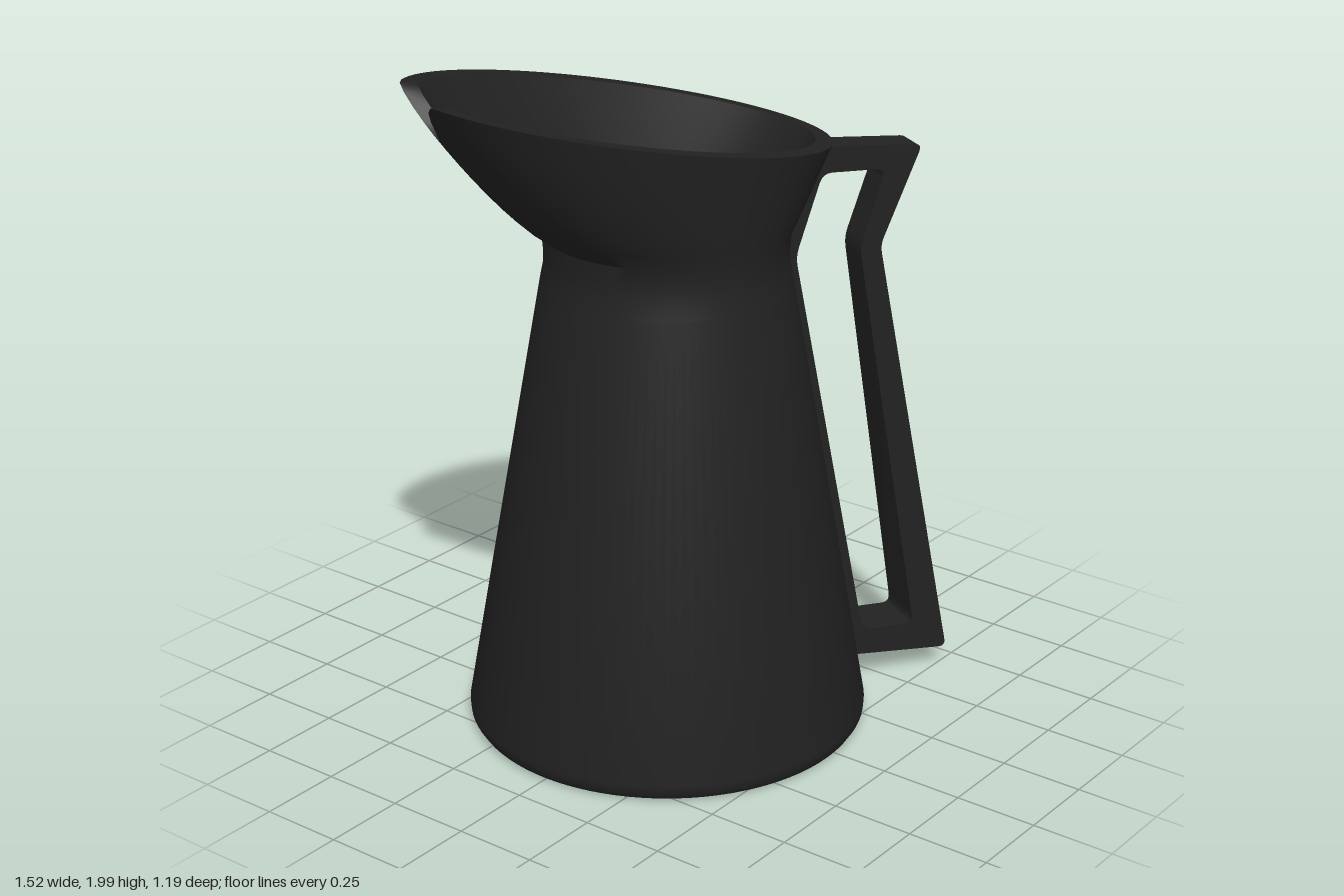
import * as THREE from 'three';
import { toCreasedNormals } from 'three/addons/utils/BufferGeometryUtils.js';

const SEGMENTS = 96;
const lerp = THREE.MathUtils.lerp;

// A ring is an ellipse: centre offset c, half axes a (handle direction) and b, height y + slope * x
const ring = (c, a, b, y, slope = 0) => ({ c, a, b, y, slope });
const round = (r, y) => ring(0, r, r, y);

// Point on a ring part-way between two rings; ease bends the flare outward
function between(r0, r1, t, phi, ease = 1) {
  const s = Math.pow(t, ease);
  const x = lerp(r0.c, r1.c, s) + lerp(r0.a, r1.a, s) * Math.cos(phi);
  const z = lerp(r0.b, r1.b, s) * Math.sin(phi);
  return [x, lerp(r0.y, r1.y, t) + lerp(r0.slope, r1.slope, t) * x, z];
}

// Pouring notch, 1 at the spout and 0 away from it
function notch(phi) {
  const d = Math.abs(phi - Math.PI) / 0.36;
  return d < 1 ? 0.5 + 0.5 * Math.cos(Math.PI * d) : 0;
}

function jugGeometry() {
  const neck = round(0.355, 1.52);
  const rim = ring(-0.139, 0.624, 0.421, 1.847, -0.2);
  const innerRim = ring(-0.139, 0.574, 0.371, 1.847, -0.2);
  const crease = ring(-0.06, 0.41, 0.32, 1.62, -0.1);
  const rows = [];
  const plain = (r) => rows.push((phi) => between(r, r, 0, phi));

  // underside, rounded foot, cone and waist
  [[0.001, 0], [0.56, 0], [0.58, 0.008], [0.591, 0.025], [0.593, 0.05], [0.362, 1.37],
    [0.352, 1.42], [0.35, 1.46]].forEach(([r, y]) => plain(round(r, y)));
  // flared collar outside
  for (let k = 0; k <= 8; k++) {
    rows.push((phi) => between(neck, rim, (k / 8) * (1 - 0.27 * notch(phi)), phi, 0.87));
  }
  // lip and flared collar inside
  for (let k = 6; k >= 0; k--) {
    rows.push((phi) => between(crease, innerRim, (k / 6) * (1 - 0.38 * notch(phi)), phi));
  }
  // throat, inner wall and floor
  [ring(-0.02, 0.34, 0.26, 1.52), ring(0, 0.302, 0.205, 1.42), ring(0, 0.31, 0.23, 1.3),
    round(0.53, 0.08), round(0.001, 0.08)].forEach(plain);

  const positions = [];
  const index = [];
  rows.forEach((row, i) => {
    for (let j = 0; j < SEGMENTS; j++) {
      positions.push(...row((j / SEGMENTS) * Math.PI * 2));
      if (i === rows.length - 1) continue;
      const n = (j + 1) % SEGMENTS;
      const a = i * SEGMENTS + j;
      const b = i * SEGMENTS + n;
      index.push(a, a + SEGMENTS, b, b, a + SEGMENTS, b + SEGMENTS);
    }
  });
  const g = new THREE.BufferGeometry();
  g.setAttribute('position', new THREE.Float32BufferAttribute(positions, 3));
  g.setIndex(index);
  return toCreasedNormals(g, 0.6);
}

// Closed outline with softened corners
function softOutline(path, points, radius) {
  const v = points.map(([x, y]) => new THREE.Vector2(x, y));
  v.forEach((p, i) => {
    const toward = (q) => p.clone().add(q.clone().sub(p).setLength(radius));
    const from = toward(v[(i + v.length - 1) % v.length]);
    const to = toward(v[(i + 1) % v.length]);
    if (i === 0) path.moveTo(from.x, from.y);
    else path.lineTo(from.x, from.y);
    path.quadraticCurveTo(p.x, p.y, to.x, to.y);
  });
  path.closePath();
  return path;
}

function handleGeometry() {
  const shape = softOutline(new THREE.Shape(), [
    [0.5, 0.1], [0.9, 0.06], [0.651, 1.4], [0.78, 1.69], [0.455, 1.72], [0.335, 1.43],
  ], 0.025);
  shape.holes.push(softOutline(new THREE.Path(), [
    [0.612, 0.17], [0.38, 1.4], [0.463, 1.64], [0.663, 1.63], [0.585, 1.4], [0.785, 0.16],
  ], 0.03));
  const g = new THREE.ExtrudeGeometry(shape, { depth: 2, bevelEnabled: false, curveSegments: 4 });
  g.translate(0, 0, -1);
  // the handle grows wider toward its foot
  const p = g.attributes.position;
  for (let i = 0; i < p.count; i++) {
    p.setZ(i, p.getZ(i) * lerp(0.084, 0.047, p.getY(i) / 1.7));
  }
  return toCreasedNormals(g, 0.5);
}

export function createModel() {
  const charcoal = new THREE.MeshStandardMaterial({ color: 0x222222 });
  charcoal.name = 'charcoal';

  const jug = new THREE.Group();
  jug.name = 'jug';
  const body = new THREE.Mesh(jugGeometry(), charcoal);
  body.name = 'body';
  const handle = new THREE.Mesh(handleGeometry(), charcoal);
  handle.name = 'handle';
  jug.add(body, handle);

  // handle points to the front left, spout to the back right
  jug.rotation.y = -Math.PI / 6;
  jug.position.x = -0.06;

  const model = new THREE.Group();
  model.name = 'pitcher';
  model.add(jug);
  return model;
}
